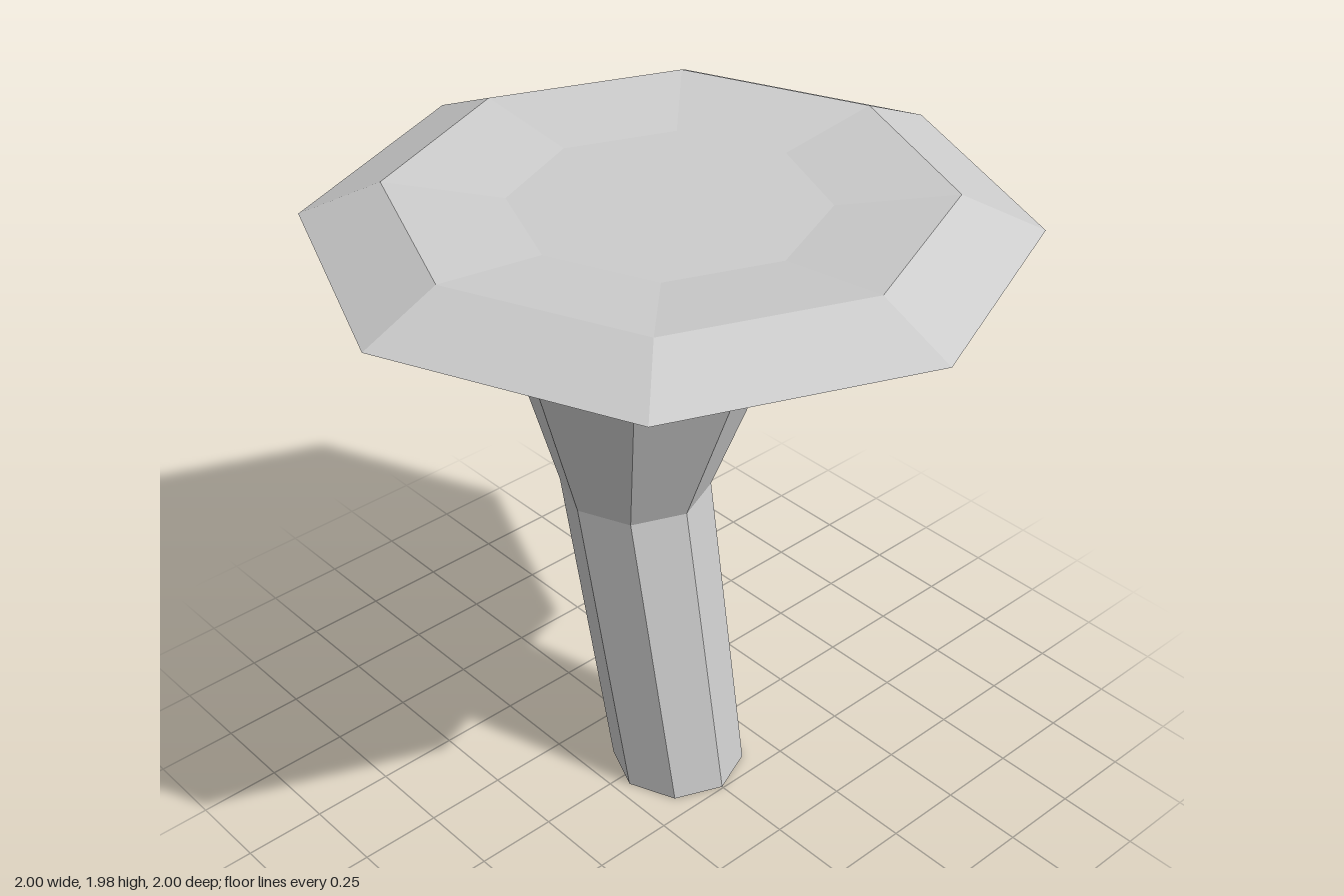
import * as THREE from 'three';

const SIDES = 8;

// Joins octagonal rings [centreX, y, radius] with flat facets; a radius of 0 closes the surface.
function loft(rings) {
  const point = ([cx, y, r], i) => {
    const a = (i % SIDES) * Math.PI * 2 / SIDES;
    return [cx + r * Math.cos(a), y, r * Math.sin(a)];
  };
  const positions = [];
  for (let k = 0; k < rings.length - 1; k++) {
    const lower = rings[k], upper = rings[k + 1];
    for (let i = 0; i < SIDES; i++) {
      const a = point(lower, i), b = point(upper, i);
      const c = point(upper, i + 1), d = point(lower, i + 1);
      if (upper[2] > 0) positions.push(...a, ...b, ...c);
      positions.push(...a, ...c, ...d);
    }
  }
  const geometry = new THREE.BufferGeometry();
  geometry.setAttribute('position', new THREE.Float32BufferAttribute(positions, 3));
  geometry.computeVertexNormals();
  return geometry;
}

export function createModel() {
  const grey = new THREE.MeshStandardMaterial({
    name: 'light grey', color: 0xcccccc, flatShading: true, side: THREE.DoubleSide,
  });
  const group = new THREE.Group();
  group.name = 'mushroom';

  const add = (name, rings) => {
    const mesh = new THREE.Mesh(loft(rings), grey);
    mesh.name = name;
    group.add(mesh);
  };

  // Bent stalk, open at the foot and flaring towards the cap
  add('stalk', [[0.04, 0, 0.205], [-0.15, 0.96, 0.225], [-0.1, 1.645, 0.445]]);

  // Wide cap with a bevelled rim and a shallow sunken top
  add('cap', [
    [-0.1, 1.645, 0.445], [0, 1.88, 1], [0, 1.98, 0.77], [0, 1.94, 0.437], [0, 1.94, 0],
  ]);

  return group;
}
